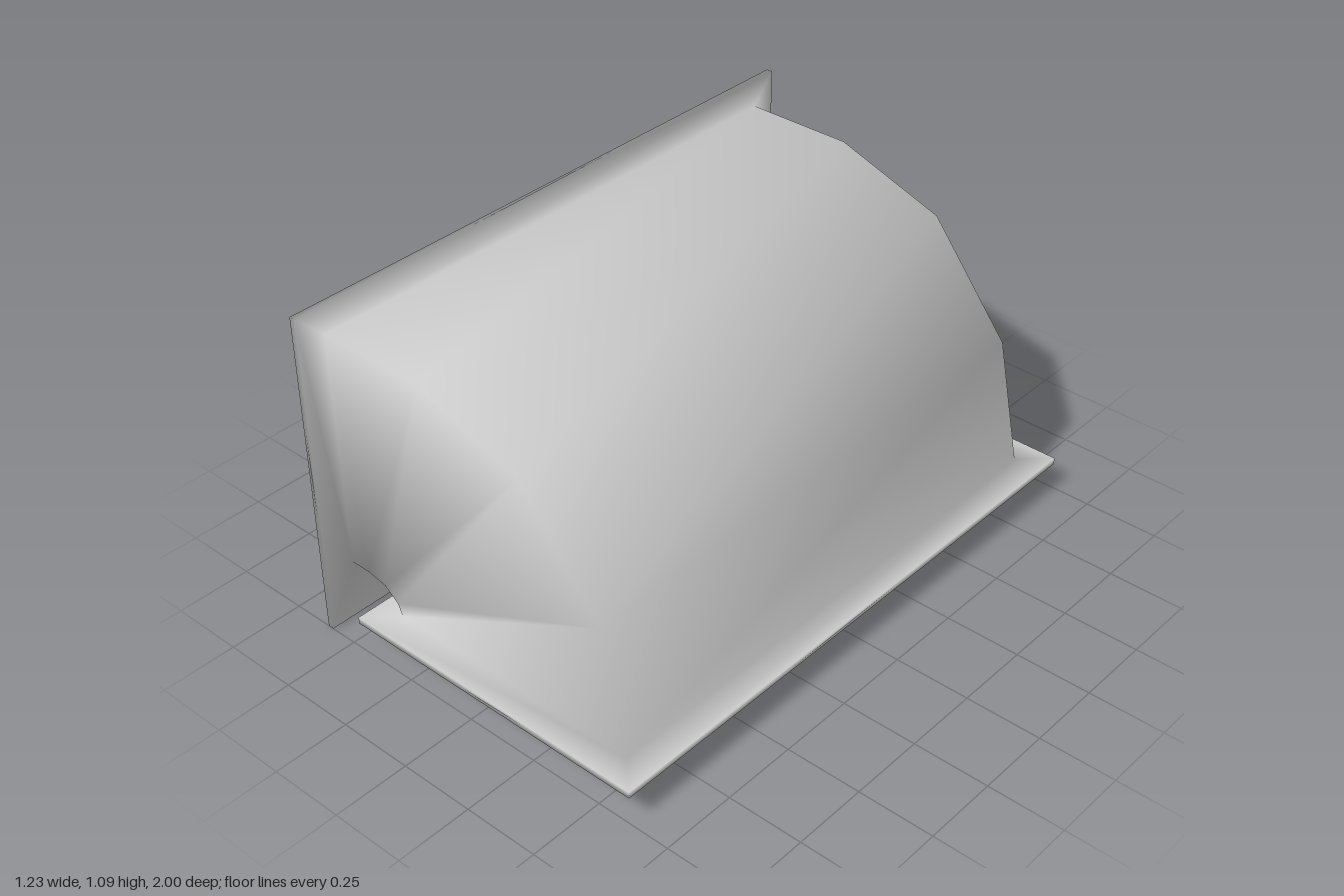
import * as THREE from 'three';

// Rectangular sections along the elbow: outer x, y, inner x, y, half depth
const sections = [
  // wall flange, rear and front rims
  [-0.613, 1.09, -0.613, 0, 1],
  [-0.593, 1.09, -0.593, 0, 1],
  // bent duct
  [-0.588, 1.0, -0.58, 0.207, 0.91],
  [-0.22, 1.0, -0.51, 0.207, 0.91],
  [0.155, 0.873, -0.44, 0.193, 0.91],
  [0.435, 0.525, -0.39, 0.153, 0.91],
  [0.52, 0.115, -0.373, 0.115, 0.91],
  // floor flange, top and bottom rims
  [0.613, 0.115, -0.465, 0.115, 1],
  [0.613, 0.093, -0.465, 0.093, 1],
];

// Closed loft with shared corners, so the shading runs smoothly over every edge
function loft(loops) {
  const position = [];
  const index = [];
  for (const [ox, oy, ix, iy, d] of loops) {
    position.push(ox, oy, d, ox, oy, -d, ix, iy, -d, ix, iy, d);
  }
  for (let s = 0; s < loops.length - 1; s++) {
    for (let k = 0; k < 4; k++) {
      const a = s * 4 + k;
      const b = s * 4 + (k + 1) % 4;
      index.push(a, a + 4, b, b, a + 4, b + 4);
    }
  }
  // end caps
  const e = (loops.length - 1) * 4;
  index.push(0, 1, 2, 0, 2, 3, e, e + 2, e + 1, e, e + 3, e + 2);

  const geometry = new THREE.BufferGeometry();
  geometry.setAttribute('position', new THREE.Float32BufferAttribute(position, 3));
  geometry.setIndex(index);
  geometry.computeVertexNormals();
  return geometry;
}

export function createModel() {
  const group = new THREE.Group();
  group.name = 'ductElbow';
  const metal = new THREE.MeshStandardMaterial({ color: 0xcccccc });
  metal.name = 'light grey metal';

  const duct = new THREE.Mesh(loft(sections), metal);
  duct.name = 'flangedDuct';
  group.add(duct);
  return group;
}
